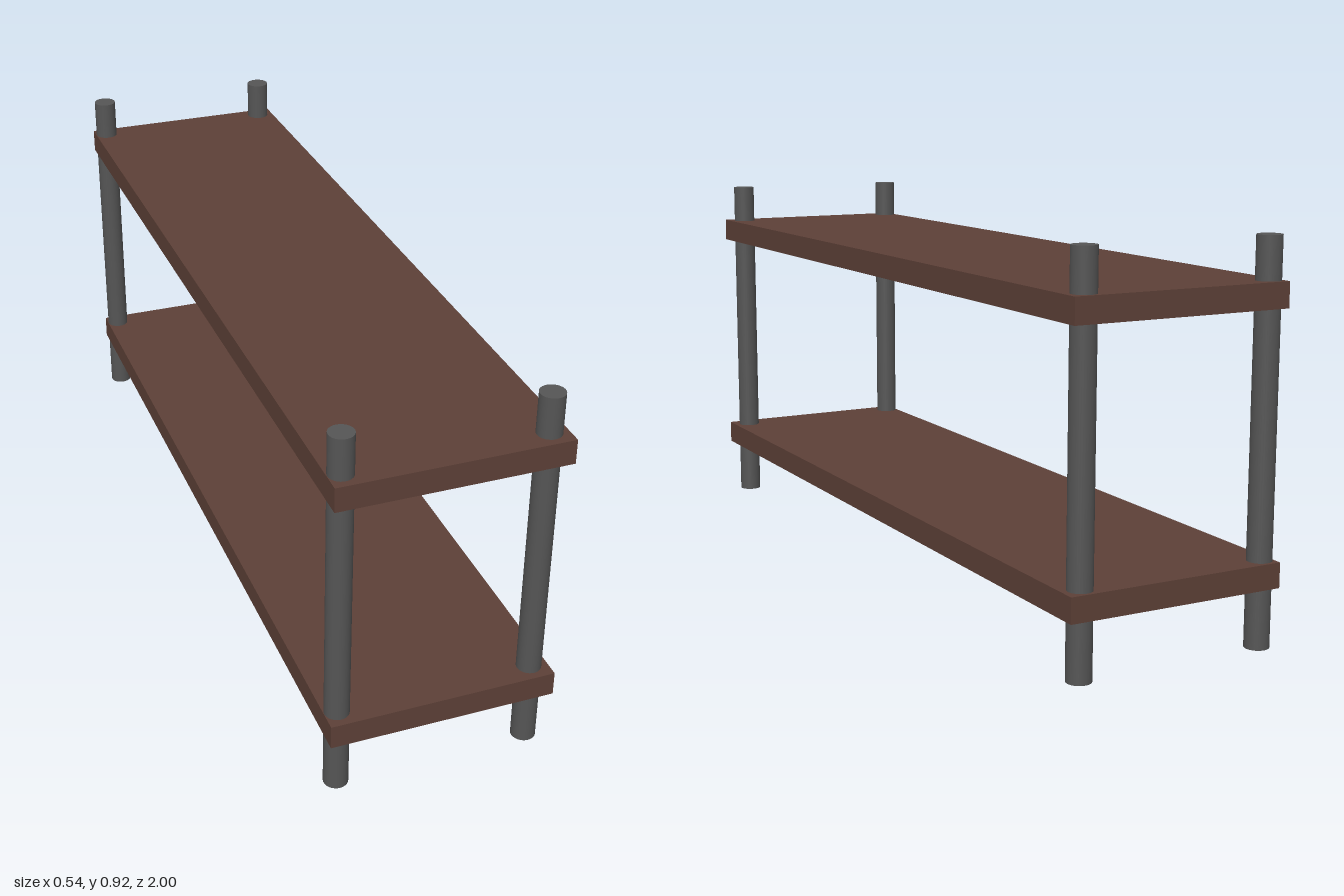
import * as THREE from 'three';

export function createModel() {
  const wood = new THREE.MeshStandardMaterial({ color: 0x5d4037 });
  wood.name = 'darkWood';
  const metal = new THREE.MeshStandardMaterial({ color: 0x555555 });
  metal.name = 'greyMetal';

  const model = new THREE.Group();
  model.name = 'twoTierShelf';

  function add(name, geometry, material, x, y, z) {
    const mesh = new THREE.Mesh(geometry, material);
    mesh.name = name;
    mesh.position.set(x, y, z);
    model.add(mesh);
  }

  // Two flat boards
  const board = new THREE.BoxGeometry(0.54, 0.059, 2);
  add('lowerShelf', board, wood, 0, 0.171, 0);
  add('upperShelf', board, wood, 0, 0.795, 0);

  // Four round posts through the corners, set slightly to one side
  const height = 0.924;
  const post = new THREE.CylinderGeometry(0.029, 0.029, height, 32);
  for (const [side, x] of [['Right', -0.24], ['Left', 0.227]]) {
    for (const [end, z] of [['front', 0.954], ['back', -0.964]]) {
      add(end + side + 'Post', post, metal, x, height / 2, z);
    }
  }
  return model;
}
